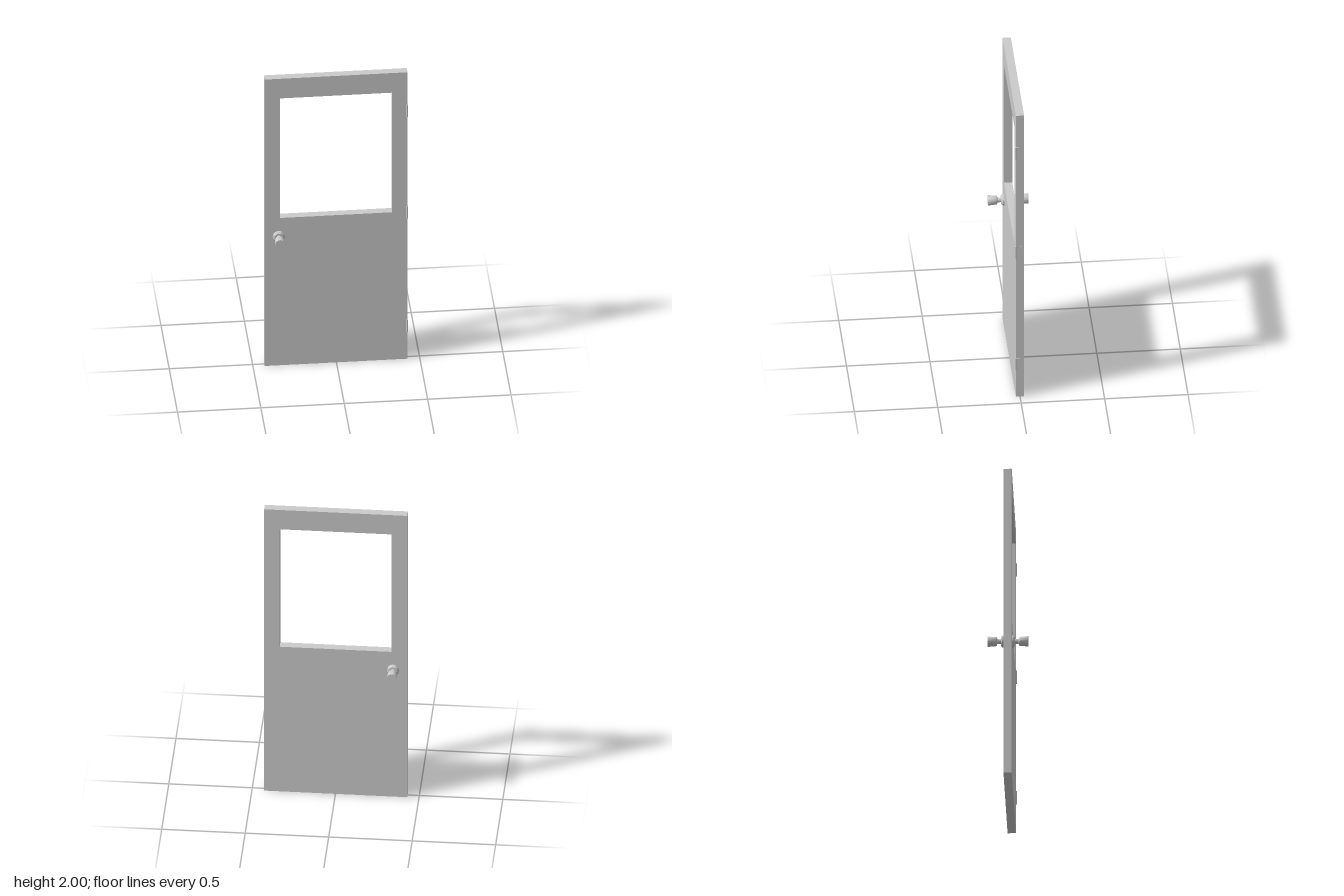
import * as THREE from 'three';
import { toCreasedNormals } from 'three/addons/utils/BufferGeometryUtils.js';

const material = new THREE.MeshStandardMaterial({ color: 0xcccccc });

function addMesh(parent, name, geometry, x = 0, y = 0, z = 0) {
  const mesh = new THREE.Mesh(geometry, material);
  mesh.name = name;
  mesh.position.set(x, y, z);
  parent.add(mesh);
  return mesh;
}

function rectangle(path, x0, y0, x1, y1) {
  path.moveTo(x0, y0);
  path.lineTo(x1, y0);
  path.lineTo(x1, y1);
  path.lineTo(x0, y1);
  path.closePath();
  return path;
}

export function createModel() {
  const door = new THREE.Group();
  door.name = 'door';
  const half = 0.0247; // half the panel thickness

  // Panel with an open window
  const outline = rectangle(new THREE.Shape(), -0.43, 0, 0.427, 2);
  outline.holes.push(rectangle(new THREE.Path(), -0.337, 1.028, 0.334, 1.863));
  const panel = new THREE.ExtrudeGeometry(outline, { depth: half * 2, bevelEnabled: false });
  addMesh(door, 'panel', panel, 0, 0, -half);

  // Knob on each face: rosette, neck and flared grip turned as one profile
  const profile = [
    [0.036, 0.024], [0.036, 0.034], [0.026, 0.042], [0.0148, 0.042], [0.0148, 0.063],
    [0.025, 0.067], [0.0275, 0.071], [0.0308, 0.119], [0.03, 0.1215], [0, 0.1215],
  ].map(([r, d]) => new THREE.Vector2(r, d));
  const knob = toCreasedNormals(new THREE.LatheGeometry(profile, 32).rotateX(Math.PI / 2), 0.5);
  addMesh(door, 'frontKnob', knob, -0.346, 0.902, 0);
  addMesh(door, 'backKnob', knob, -0.346, 0.902, 0).rotation.y = Math.PI;

  // Three hinges: a thin leaf on the edge and a knuckle at the front corner
  for (const y of [0.232, 1.025, 1.732]) {
    const hinge = new THREE.Group();
    hinge.name = 'hinge';
    hinge.position.y = y;
    addMesh(hinge, 'hingeLeaf', new THREE.BoxGeometry(0.003, 0.083, 0.036), 0.4275, 0, 0.008);
    addMesh(hinge, 'hingeKnuckle', new THREE.CylinderGeometry(0.0062, 0.0062, 0.083, 16), 0.4238, 0, 0.025);
    door.add(hinge);
  }

  return door;
}
